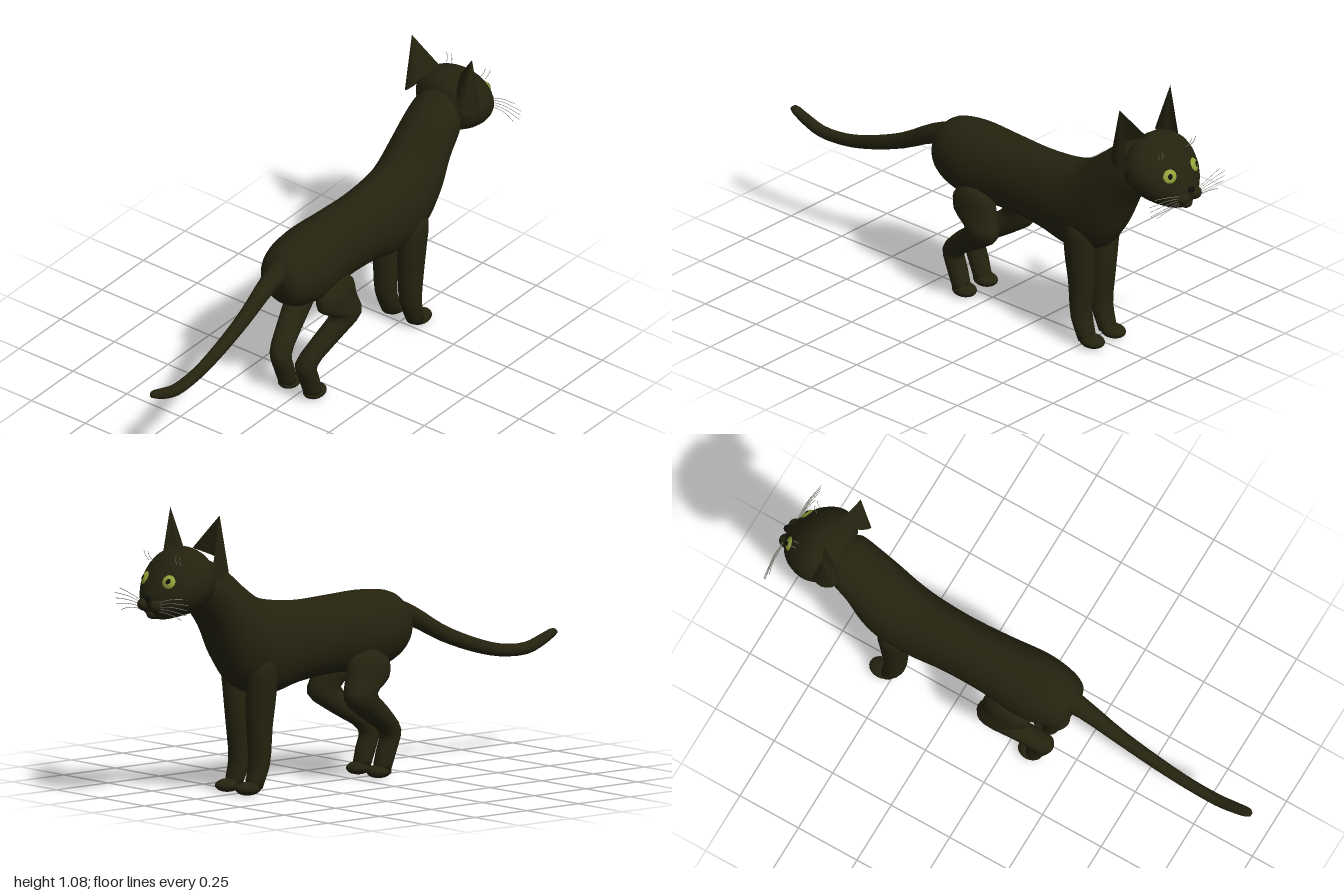
import * as THREE from 'three';

const mat = (name, color, side = THREE.FrontSide) => {
  const m = new THREE.MeshStandardMaterial({ color, side });
  m.name = name;
  return m;
};

// Loft of elliptical rings. Each section: [x1, y1, x2, y2, halfWidth, zCentre],
// where the two points are opposite edges of the ring in side view.
function loft(sections, steps = 4, n = 24) {
  const curve = f => new THREE.CatmullRomCurve3(sections.map(f));
  const first = curve(s => new THREE.Vector3(s[0], s[1], 0));
  const second = curve(s => new THREE.Vector3(s[2], s[3], 0));
  const width = curve((s, i) => new THREE.Vector3(s[4], s[5] || 0, i));
  const rows = (sections.length - 1) * steps;
  const pos = [], idx = [];
  for (let i = 0; i <= rows; i++) {
    const a = first.getPoint(i / rows), b = second.getPoint(i / rows), w = width.getPoint(i / rows);
    const mid = a.clone().add(b).multiplyScalar(0.5), up = a.sub(b).multiplyScalar(0.5);
    for (let j = 0; j < n; j++) {
      const t = (j / n) * Math.PI * 2, c = Math.cos(t);
      pos.push(mid.x + up.x * c, mid.y + up.y * c, w.y + w.x * Math.sin(t));
    }
  }
  for (let i = 0; i < rows; i++) {
    for (let j = 0; j < n; j++) {
      const a = i * n + j, b = i * n + (j + 1) % n;
      idx.push(a, b, a + n, b, b + n, a + n);
    }
  }
  // end caps
  const last = rows * n;
  for (let j = 1; j < n - 1; j++) idx.push(0, j + 1, j, last, last + j, last + j + 1);
  const g = new THREE.BufferGeometry();
  g.setAttribute('position', new THREE.Float32BufferAttribute(pos, 3));
  g.setIndex(idx);
  g.computeVertexNormals();
  return g;
}

// Cupped ear: a curved rim lofted up to a point, open at the front
function earGeometry(s) {
  const rim = new THREE.CatmullRomCurve3([
    [0.80, 0.84, 0.145], [0.75, 0.835, 0.152], [0.705, 0.865, 0.132],
    [0.725, 0.91, 0.09], [0.805, 0.95, 0.045],
  ].map(p => new THREE.Vector3(...p)));
  const tip = new THREE.Vector3(0.755, 1.077, 0.14), n = 16, rows = 6, pos = [], idx = [];
  for (let i = 0; i <= rows; i++) {
    for (let j = 0; j <= n; j++) {
      const p = rim.getPoint(j / n).lerp(tip, i / rows);
      pos.push(p.x, p.y, p.z * s);
      if (i < rows && j < n) {
        const a = i * (n + 1) + j, b = a + n + 1;
        idx.push(a, a + 1, b, a + 1, b + 1, b);
      }
    }
  }
  const g = new THREE.BufferGeometry();
  g.setAttribute('position', new THREE.Float32BufferAttribute(pos, 3));
  g.setIndex(s > 0 ? idx : idx.reverse());
  g.computeVertexNormals();
  return g;
}

export function createModel() {
  const cat = new THREE.Group();
  cat.name = 'cat';
  const fur = mat('dark fur', 0x25230f);
  const earFur = mat('ear fur', 0x25230f, THREE.DoubleSide);
  const iris = mat('green eye', 0x94a33a);
  const black = mat('black', 0x0f0f0a);
  const hair = mat('grey whisker', 0x8c8c84);

  const add = (name, geometry, material) => {
    const m = new THREE.Mesh(geometry, material);
    m.name = name;
    cat.add(m);
    return m;
  };
  const ball = (name, material, p, r) => {
    const m = add(name, new THREE.SphereGeometry(1, 20, 14), material);
    m.position.set(...p);
    m.scale.set(...r);
    return m;
  };
  const strand = (name, points, r) => add(name, new THREE.TubeGeometry(
    new THREE.CatmullRomCurve3(points.map(p => new THREE.Vector3(...p))), 6, r, 4), hair);

  // torso and neck
  add('body', loft([
    [-0.25, 0.59, -0.245, 0.53, 0.04], [-0.235, 0.64, -0.22, 0.46, 0.085],
    [-0.19, 0.68, -0.16, 0.42, 0.112], [-0.08, 0.70, -0.05, 0.40, 0.127],
    [0.10, 0.698, 0.10, 0.405, 0.113], [0.25, 0.695, 0.27, 0.39, 0.108],
    [0.40, 0.71, 0.42, 0.36, 0.115], [0.47, 0.73, 0.56, 0.40, 0.122],
    [0.55, 0.785, 0.63, 0.485, 0.122], [0.63, 0.85, 0.69, 0.61, 0.113],
    [0.70, 0.89, 0.76, 0.71, 0.105], [0.74, 0.90, 0.775, 0.75, 0.08],
  ], 4, 28), fur);

  // tail, from tip to root
  add('tail', loft([
    [-0.998, 0.452, -0.996, 0.44, 0.008], [-0.985, 0.462, -0.975, 0.427, 0.018],
    [-0.93, 0.447, -0.935, 0.405, 0.021], [-0.85, 0.424, -0.855, 0.378, 0.022],
    [-0.73, 0.43, -0.72, 0.383, 0.022], [-0.60, 0.467, -0.58, 0.417, 0.024],
    [-0.45, 0.53, -0.43, 0.472, 0.027], [-0.30, 0.618, -0.275, 0.545, 0.036],
    [-0.20, 0.66, -0.18, 0.56, 0.047],
  ], 3, 16), fur);

  // head
  add('head', loft([
    [0.725, 0.835, 0.732, 0.80, 0.03], [0.74, 0.91, 0.765, 0.725, 0.115],
    [0.79, 0.948, 0.81, 0.705, 0.147], [0.85, 0.945, 0.86, 0.695, 0.148],
    [0.91, 0.905, 0.92, 0.69, 0.12], [0.95, 0.85, 0.955, 0.697, 0.083],
    [0.978, 0.795, 0.973, 0.715, 0.042], [0.984, 0.775, 0.979, 0.735, 0.015],
  ], 4, 28), fur);
  ball('nose', black, [0.985, 0.776, 0], [0.015, 0.011, 0.015]);
  ball('chin', fur, [0.96, 0.713, 0], [0.022, 0.018, 0.025]);

  for (const s of [1, -1]) {
    const side = s > 0 ? 'near' : 'far';

    add(side + 'Ear', earGeometry(s), earFur);
    ball(side + 'Muzzle', fur, [0.968, 0.747, 0.034 * s], [0.03, 0.025, 0.028]);

    // eye with a small pupil on its surface
    const n = new THREE.Vector3(0.82, 0.38, 0.42 * s).normalize();
    const eye = new THREE.Vector3(0.931, 0.834, 0.064 * s);
    const turn = new THREE.Quaternion().setFromUnitVectors(new THREE.Vector3(0, 0, 1), n);
    ball(side + 'Eye', iris, eye.toArray(), [0.031, 0.031, 0.02]).quaternion.copy(turn);
    ball(side + 'Pupil', black, eye.clone().addScaledVector(n, 0.0185).toArray(),
      [0.009, 0.011, 0.003]).quaternion.copy(turn);

    // whiskers and brow hairs
    for (let k = 0; k < 5; k++) {
      const y = 0.762 - k * 0.008, end = 0.79 - k * 0.02, reach = [0.18, 0.21, 0.205, 0.2, 0.17][k];
      strand(side + 'Whisker', [[0.975, y, 0.05 * s], [0.975, (y + end) / 2 + 0.006, 0.12 * s],
        [0.965, end, reach * s]], 0.0012);
    }
    for (const z of [0.068, 0.09])
      strand(side + 'BrowHair', [[0.90, 0.898, z * s], [0.912, 0.915, (z + 0.006) * s],
        [0.915, 0.935, (z + 0.014) * s * 0.98]], 0.0012);

    // front leg
    add(side + 'FrontLeg', loft([
      [0.52, 0.515, 0.46, 0.515, 0.02, 0.088 * s], [0.55, 0.47, 0.435, 0.465, 0.045, 0.078 * s],
      [0.55, 0.38, 0.43, 0.38, 0.052, 0.066 * s], [0.542, 0.25, 0.442, 0.25, 0.048, 0.058 * s],
      [0.53, 0.12, 0.455, 0.11, 0.044, 0.057 * s], [0.55, 0.035, 0.49, 0.02, 0.037, 0.057 * s],
    ], 3, 20), fur);
    ball(side + 'FrontPaw', fur, [0.546, 0.026, 0.058 * s], [0.052, 0.025, 0.041]);

    // hind leg: thigh, knee, hock
    add(side + 'HindLeg', loft([
      [0.03, 0.495, -0.05, 0.49, 0.025, 0.095 * s], [0.08, 0.46, -0.10, 0.445, 0.048, 0.094 * s],
      [0.096, 0.395, -0.098, 0.385, 0.054, 0.094 * s], [0.11, 0.312, -0.03, 0.335, 0.05, 0.105 * s],
      [0.01, 0.235, -0.10, 0.27, 0.044, 0.085 * s], [-0.10, 0.16, -0.182, 0.178, 0.041, 0.06 * s],
      [-0.085, 0.10, -0.16, 0.095, 0.039, 0.058 * s], [-0.07, 0.04, -0.132, 0.022, 0.036, 0.058 * s],
    ], 3, 20), fur);
    ball(side + 'HindPaw', fur, [-0.088, 0.026, 0.058 * s], [0.05, 0.025, 0.041]);
  }
  return cat;
}
